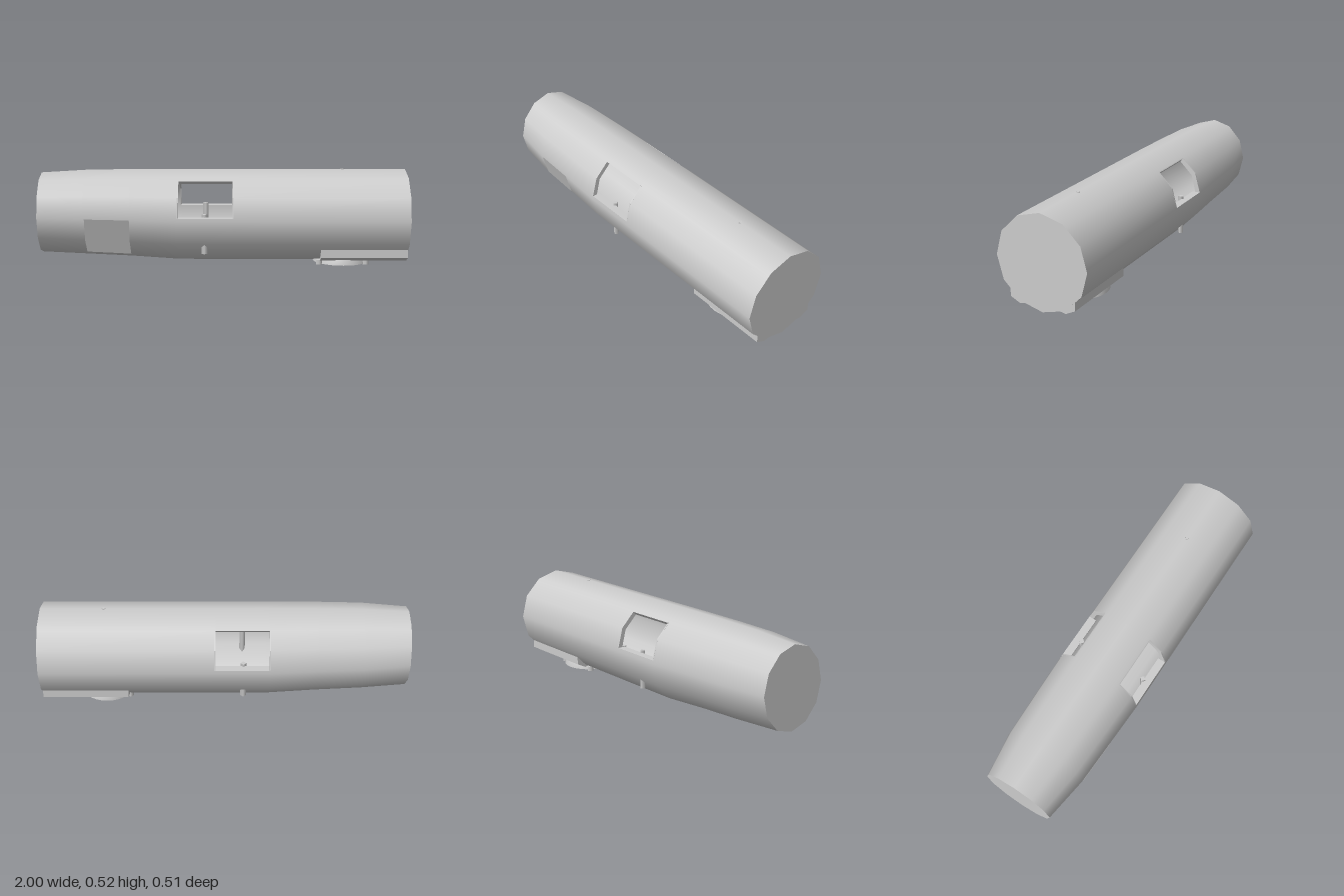
import * as THREE from 'three';

// Hull stations: x, centre height, vertical radius, sideways radius
const STATIONS = [
  [-1, 0.2725, 0.2225, 0.2], [-0.75, 0.274, 0.236, 0.236], [-0.5, 0.27, 0.244, 0.245],
  [-0.24, 0.2615, 0.2535, 0.2535], [0.05, 0.2615, 0.2535, 0.2535], [1, 0.2615, 0.2535, 0.2535],
];
const WIN = [1.17, 2.86]; // opening limits, counted in twelfths from the top

// Point on a unit twelve-sided outline, as [z, y]
function outline(u) {
  const k = Math.floor(u), f = u - k, a = k * Math.PI / 6, b = a + Math.PI / 6;
  return [Math.sin(a) * (1 - f) + Math.sin(b) * f, Math.cos(a) * (1 - f) + Math.cos(b) * f];
}

// Skin through stations and outline positions; skip(i, u) leaves a panel out
function skin(stations, us, skip, grow = 0, fixedNormal = null) {
  const pos = [], nor = [], idx = [], n = us.length;
  stations.forEach(([x, c, ry, rz], i) => us.forEach((u, j) => {
    const [z, y] = outline(u);
    pos.push(x, c + y * (ry + grow), z * (rz + grow));
    const v = fixedNormal || new THREE.Vector3(0, y, z).normalize();
    nor.push(v.x, v.y, v.z);
    if (i < stations.length - 1 && j < n - 1 && !skip(i, (u + us[j + 1]) / 2)) {
      const a = i * n + j;
      idx.push(a, a + 1, a + n, a + 1, a + n + 1, a + n);
    }
  }));
  const g = new THREE.BufferGeometry();
  g.setAttribute('position', new THREE.Float32BufferAttribute(pos, 3));
  g.setAttribute('normal', new THREE.Float32BufferAttribute(nor, 3));
  g.setIndex(idx);
  return g;
}

// Extrude a (z, y) section along x from x0 to x1
function section(points, x0, x1) {
  const shape = new THREE.Shape(points.map(p => new THREE.Vector2(p[0], p[1])));
  const g = new THREE.ExtrudeGeometry(shape, { depth: x1 - x0, bevelEnabled: false });
  return g.rotateY(-Math.PI / 2).translate(x1, 0, 0);
}

export function createModel() {
  const group = new THREE.Group();
  const grey = new THREE.MeshStandardMaterial({ color: 0xcccccc, side: THREE.DoubleSide });
  grey.name = 'light grey';
  const add = (name, geometry, x = 0, y = 0, z = 0) => {
    const m = new THREE.Mesh(geometry, grey);
    m.name = name;
    m.position.set(x, y, z);
    group.add(m);
    return m;
  };

  // Hull with an opening on each side
  const us = [0, 1, WIN[0], 2, WIN[1], 3, 4, 5, 6, 7, 8, 9, 12 - WIN[1], 10, 12 - WIN[0], 11, 12].sort((a, b) => a - b);
  const inWindow = (i, u) => {
    const m = Math.min(u, 12 - u);
    return i === 3 && m > WIN[0] && m < WIN[1];
  };
  add('hull', skin(STATIONS, us, inWindow));

  // Flat end bulkheads
  for (const [x, c, ry, rz] of [STATIONS[0], STATIONS[5]]) {
    const g = new THREE.CircleGeometry(1, 12, Math.PI / 2).scale(rz, ry, 1).rotateY(Math.sign(x) * Math.PI / 2);
    add('bulkhead', g, x, c, 0);
  }

  // Flat-shaded side panel near the narrow end
  const panel = [[-0.74, 0.274, 0.236, 0.2365], STATIONS[2]];
  add('sidePanel', skin(panel, [3, 4, 4.9], () => false, 0.002, new THREE.Vector3(0, -0.33, 0.94)));

  for (const s of [1, -1]) {
    // Opening frame: jambs, sill and header
    const jamb = [[0.143, 0.465], [0.22, 0.388], [0.249, 0.28], [0.222, 0.28], [0.198, 0.375], [0.126, 0.447]]
      .map(([z, y]) => [s * z, y]);
    add('rearJamb', section(jamb, -0.246, -0.24));
    add('frontJamb', section(jamb, 0.05, 0.056));
    add('sill', new THREE.BoxGeometry(0.29, 0.006, 0.044), -0.095, 0.277, s * 0.227);
    const header = add('header', new THREE.BoxGeometry(0.29, 0.005, 0.024), -0.095, 0.458, s * 0.134);
    header.rotation.x = -s * Math.PI / 4;

    // Upright diamond post through the lower skin
    add('post', new THREE.CylinderGeometry(0.016, 0.016, 0.215, 4), -0.1, 0.1875, s * 0.2);

    // Lower side fairing
    const fairing = [[0.183, 0.1], [0.183, 0.054], [0.13, 0.028], [0.1, 0.034], [0.1, 0.1]];
    add('lowerFairing', section(fairing.map(([z, y]) => [s * z, y]), 0.53, 0.999));

    // Lugs around the belly ring
    for (const t of [1, -1]) {
      add('ringLug', new THREE.CylinderGeometry(0.018, 0.018, 0.026, 6), 0.655 + t * 0.128, 0.013, s * 0.093);
    }
  }

  // Flared belly ring
  const ring = [[0.135, 0.045], [0.154, 0.004], [0.143, 0.004], [0.128, 0.03]];
  const lathe = new THREE.LatheGeometry(ring.map(p => new THREE.Vector2(p[0], p[1])).reverse(), 32);
  add('bellyRing', lathe, 0.655, 0, 0);

  // Small peg on top
  add('topPeg', new THREE.CylinderGeometry(0.012, 0.012, 0.03, 4), 0.655, 0.502, 0);

  return group;
}
